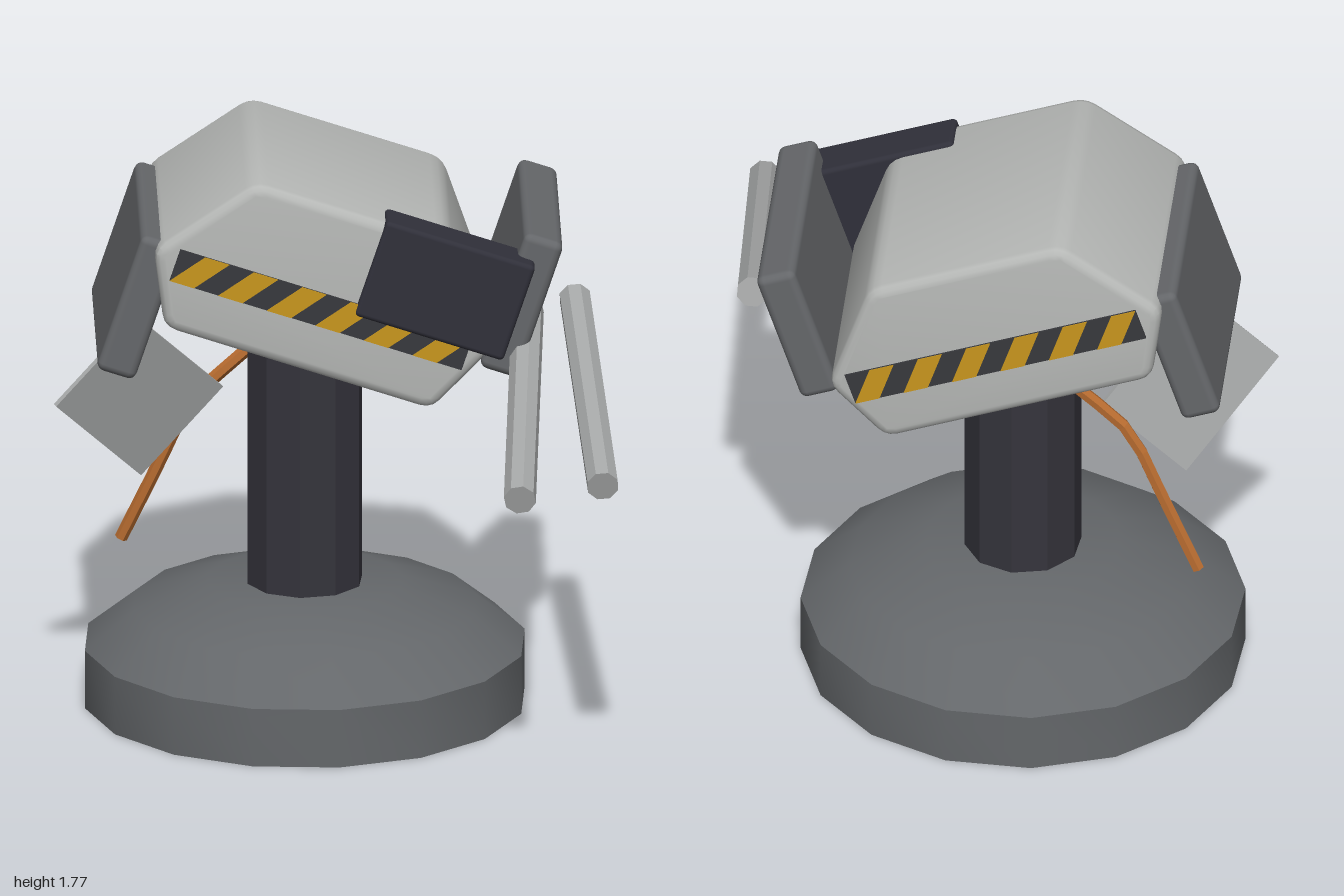
import * as THREE from 'three';
import { toCreasedNormals } from 'three/addons/utils/BufferGeometryUtils.js';
import { RoundedBoxGeometry } from 'three/addons/geometries/RoundedBoxGeometry.js';

const V = (x, y, z) => new THREE.Vector3(x, y, z);
const YAW = -Math.PI / 6, ROLL = -0.321;

function material(name, color, flatShading = false) {
  const m = new THREE.MeshStandardMaterial({ color, flatShading });
  m.name = name;
  return m;
}

function addMesh(parent, name, geometry, mat, x = 0, y = 0, z = 0) {
  const mesh = new THREE.Mesh(geometry, mat);
  mesh.name = name;
  mesh.position.set(x, y, z);
  parent.add(mesh);
  return mesh;
}

// Closed outline with each corner softened by a small curve
function roundedOutline(points, r) {
  const shape = new THREE.Shape();
  points.forEach((p, i) => {
    const prev = points[(i + points.length - 1) % points.length];
    const next = points[(i + 1) % points.length];
    const a = p.clone().add(prev.clone().sub(p).setLength(r));
    const b = p.clone().add(next.clone().sub(p).setLength(r));
    if (i === 0) shape.moveTo(a.x, a.y);
    else shape.lineTo(a.x, a.y);
    shape.quadraticCurveTo(p.x, p.y, b.x, b.y);
  });
  shape.closePath();
  return shape;
}

// Hazard strip: dark backing with slanted yellow bars
function hazardStrip(dark, yellow) {
  const group = new THREE.Group();
  const w = 0.94, h = 0.105, count = 6, slant = 0.08;
  const pitch = (w - slant) / (count - 0.5);
  addMesh(group, 'stripBacking', new THREE.BoxGeometry(w, h, 0.006), dark, 0, 0, 0.003);
  for (let i = 0; i < count; i++) {
    const x = -w / 2 + i * pitch;
    const bar = new THREE.Shape([
      new THREE.Vector2(x, -h / 2), new THREE.Vector2(x + pitch / 2, -h / 2),
      new THREE.Vector2(x + pitch / 2 + slant, h / 2), new THREE.Vector2(x + slant, h / 2),
    ]);
    addMesh(group, 'stripBar', new THREE.ExtrudeGeometry(bar, { depth: 0.003, bevelEnabled: false }), yellow, 0, 0, 0.006);
  }
  return group;
}

export function createModel() {
  const root = new THREE.Group();
  root.name = 'brokenTurret';
  const baseGrey = material('baseGrey', 0x64676a);
  const shellGrey = material('shellGrey', 0xb6b8b6);
  const armourGrey = material('armourGrey', 0x65676a);
  const postDark = material('postDark', 0x35343c, true);
  const podDark = material('podDark', 0x30303a);
  const stripDark = material('stripDark', 0x38393d);
  const hazardYellow = material('hazardYellow', 0xc8961e);
  const barrelGrey = material('barrelGrey', 0xa6a8a8, true);
  const copper = material('copper', 0xb86c30, true);

  // Domed base
  const profile = [[0, 0], [0.68, 0], [0.68, 0.185], [0.53, 0.305], [0.3, 0.38], [0, 0.38]]
    .map(([r, y]) => new THREE.Vector2(r, y));
  addMesh(root, 'base', toCreasedNormals(new THREE.LatheGeometry(profile, 16), 0.7), baseGrey, -0.07, 0, -0.32);

  // Post
  addMesh(root, 'post', new THREE.CylinderGeometry(0.18, 0.18, 0.95, 10), postDark, -0.07, 0.775, -0.32);

  // Tilted head
  const head = new THREE.Group();
  head.name = 'head';
  head.position.set(-0.01, 1.4, -0.34);
  head.rotation.set(0, YAW, ROLL, 'YXZ');
  root.add(head);

  const outline = [[-0.43, -0.23], [0.43, -0.23], [0.54, 0], [0.31, 0.3], [-0.31, 0.3], [-0.54, 0]]
    .map(([x, y]) => new THREE.Vector2(x, y));
  const shell = new THREE.ExtrudeGeometry(roundedOutline(outline, 0.04), {
    depth: 0.79, bevelThickness: 0.03, bevelSize: 0.03, bevelOffset: -0.03, bevelSegments: 3, curveSegments: 3,
  });
  addMesh(head, 'headShell', toCreasedNormals(shell, 0.6), shellGrey, 0, 0, -0.395);

  // Hazard strips on the front and back of the head
  for (const side of [1, -1]) {
    const strip = hazardStrip(stripDark, hazardYellow);
    strip.name = side > 0 ? 'frontStrip' : 'backStrip';
    strip.position.set(0.005, -0.022, side * 0.425);
    strip.rotation.y = side > 0 ? 0 : Math.PI;
    head.add(strip);
  }

  // Sensor pod on the front corner
  addMesh(head, 'sensorPod', new RoundedBoxGeometry(0.48, 0.32, 0.145, 2, 0.015), podDark, 0.346, 0.153, 0.37);

  // Side armour slabs
  for (const side of [1, -1]) {
    const slab = addMesh(root, side > 0 ? 'leftArmour' : 'rightArmour',
      new RoundedBoxGeometry(0.125, 0.455, 0.745, 2, 0.025), armourGrey,
      0.01 + side * 0.505, 1.366, -0.32 + side * 0.296);
    slab.rotation.set(0, YAW, ROLL, 'YXZ');
  }

  // Drooping barrels
  const barrels = [
    [V(0.49, 1.265, 0.07), V(-0.08, 1.005, 0.955)],
    [V(0.665, 1.27, 0.06), V(0.205, 1.005, 0.975)],
  ];
  for (const [from, to] of barrels) {
    const dir = to.clone().sub(from);
    const mid = from.clone().add(to).multiplyScalar(0.5);
    const barrel = addMesh(root, 'barrel', new THREE.CylinderGeometry(0.05, 0.05, dir.length(), 8), barrelGrey, mid.x, mid.y, mid.z);
    barrel.quaternion.setFromUnitVectors(V(0, 1, 0), dir.normalize());
  }

  // Loose panel hanging under the head
  const ex = V(0.25, 0.27, 0.08).normalize();
  const ez = ex.clone().cross(V(-0.34, 0.29, 0.05)).normalize();
  const ey = ez.clone().cross(ex);
  const panel = addMesh(root, 'loosePanel', new THREE.BoxGeometry(0.37, 0.45, 0.016), barrelGrey, -0.525, 0.987, -0.55);
  panel.quaternion.setFromRotationMatrix(new THREE.Matrix4().makeBasis(ex, ey, ez));

  // Torn cable
  const cable = new THREE.CatmullRomCurve3([
    V(-0.06, 1.15, -0.5), V(-0.2, 1.01, -0.575), V(-0.285, 0.91, -0.63), V(-0.37, 0.68, -0.7), V(-0.45, 0.45, -0.775),
  ]);
  const cableMesh = addMesh(root, 'cable', new THREE.TubeGeometry(cable, 8, 0.02, 6), copper);

  // Cable end cap
  const cap = addMesh(root, 'cableEnd', new THREE.CircleGeometry(0.02, 6), copper, -0.45, 0.45, -0.775);
  cap.quaternion.setFromUnitVectors(V(0, 0, 1), cable.getTangent(1));

  return root;
}
